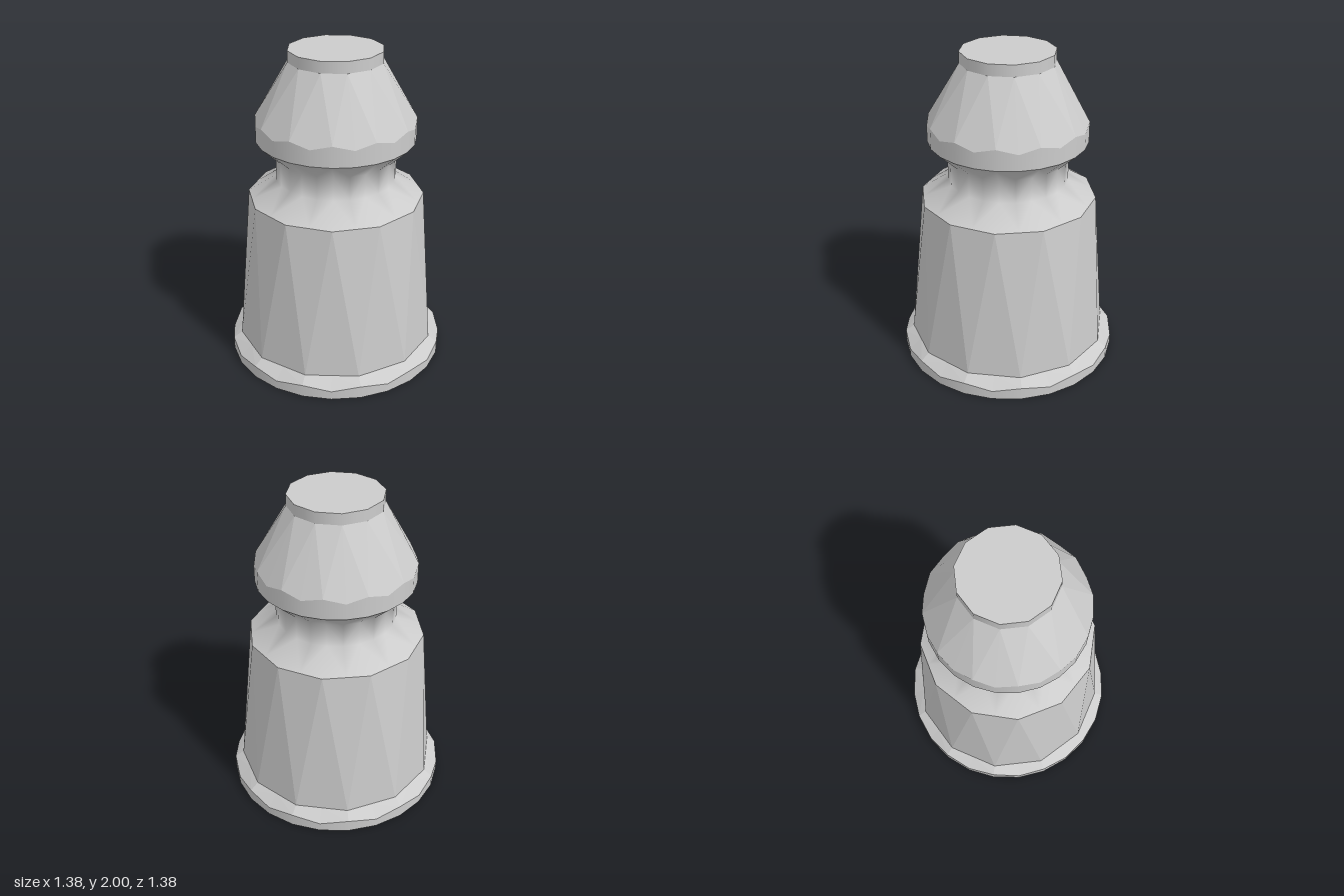
import * as THREE from 'three';

const SLOTS = 24;
const MID = Math.cos(Math.PI / 12); // edge midpoint of a 12-gon, relative to its radius

// Every ring has 24 points: rEven/yEven on the even slots, rOdd/yOdd on the odd ones.
const ring = (rEven, yEven, rOdd = rEven, yOdd = yEven) =>
  Array.from({ length: SLOTS }, (_, i) => {
    const a = (i / SLOTS) * Math.PI * 2;
    const r = i % 2 ? rOdd : rEven;
    return [Math.sin(a) * r, i % 2 ? yOdd : yEven, Math.cos(a) * r];
  });
const twelveEven = (r, y) => ring(r, y, r * MID, y); // corners on even slots
const twelveOdd = (r, y) => ring(r * MID, y, r, y); // corners on odd slots

// Joins rings from bottom to top; diagonals alternate so facets meet at the corners.
function band(name, rings, { flat = false, flip = false } = {}) {
  const index = [];
  for (let k = 0; k < rings.length - 1; k++) {
    for (let i = 0; i < SLOTS; i++) {
      const j = (i + 1) % SLOTS;
      const a = k * SLOTS + i, b = k * SLOTS + j;
      const d = a + SLOTS, c = b + SLOTS;
      if ((i % 2 === 0) !== flip) index.push(a, b, c, a, c, d);
      else index.push(a, b, d, b, c, d);
    }
  }
  let geometry = new THREE.BufferGeometry();
  geometry.setAttribute('position', new THREE.Float32BufferAttribute(rings.flat(2), 3));
  geometry.setIndex(index);
  if (flat) geometry = geometry.toNonIndexed();
  geometry.computeVertexNormals();
  const material = new THREE.MeshStandardMaterial({
    color: 0xcccccc, flatShading: flat, side: THREE.DoubleSide,
  });
  const mesh = new THREE.Mesh(geometry, material);
  mesh.name = name;
  return mesh;
}

export function createModel() {
  const group = new THREE.Group();
  group.name = 'facetedBellPost';

  // Rings shared by neighbouring parts
  const rimTop = ring(0.69, 0.08, 0.69, 0.056);
  const bodyBase = twelveEven(0.635, 0.12);
  const bodyTop = twelveOdd(0.547, 1.08);
  const headBase = ring(0.49, 1.45);
  const shoulder = ring(0.49, 1.55, 0.49, 1.58);
  const collarBase = twelveEven(0.288, 1.93);

  group.add(
    // Open base rim with a bevel cut in twelve flats
    band('baseRim', [ring(0.69, 0), rimTop]),
    band('baseBevel', [rimTop, bodyBase], { flat: true }),
    // Tapered body of alternating triangles
    band('body', [bodyBase, bodyTop], { flat: true }),
    // Smooth waist flaring into the head
    band('neck', [bodyTop, ring(0.372, 1.19), ring(0.372, 1.34), headBase]),
    band('headBand', [headBase, shoulder]),
    // Faceted head
    band('headFacets', [shoulder, collarBase], { flat: true, flip: true }),
    band('collar', [collarBase, twelveEven(0.288, 2)]),
  );

  // Flat lid
  const lid = new THREE.Mesh(
    new THREE.CircleGeometry(0.288, 12).rotateX(-Math.PI / 2),
    new THREE.MeshStandardMaterial({ color: 0xcccccc, side: THREE.DoubleSide }),
  );
  lid.name = 'lid';
  lid.position.y = 2;
  group.add(lid);

  return group;
}
